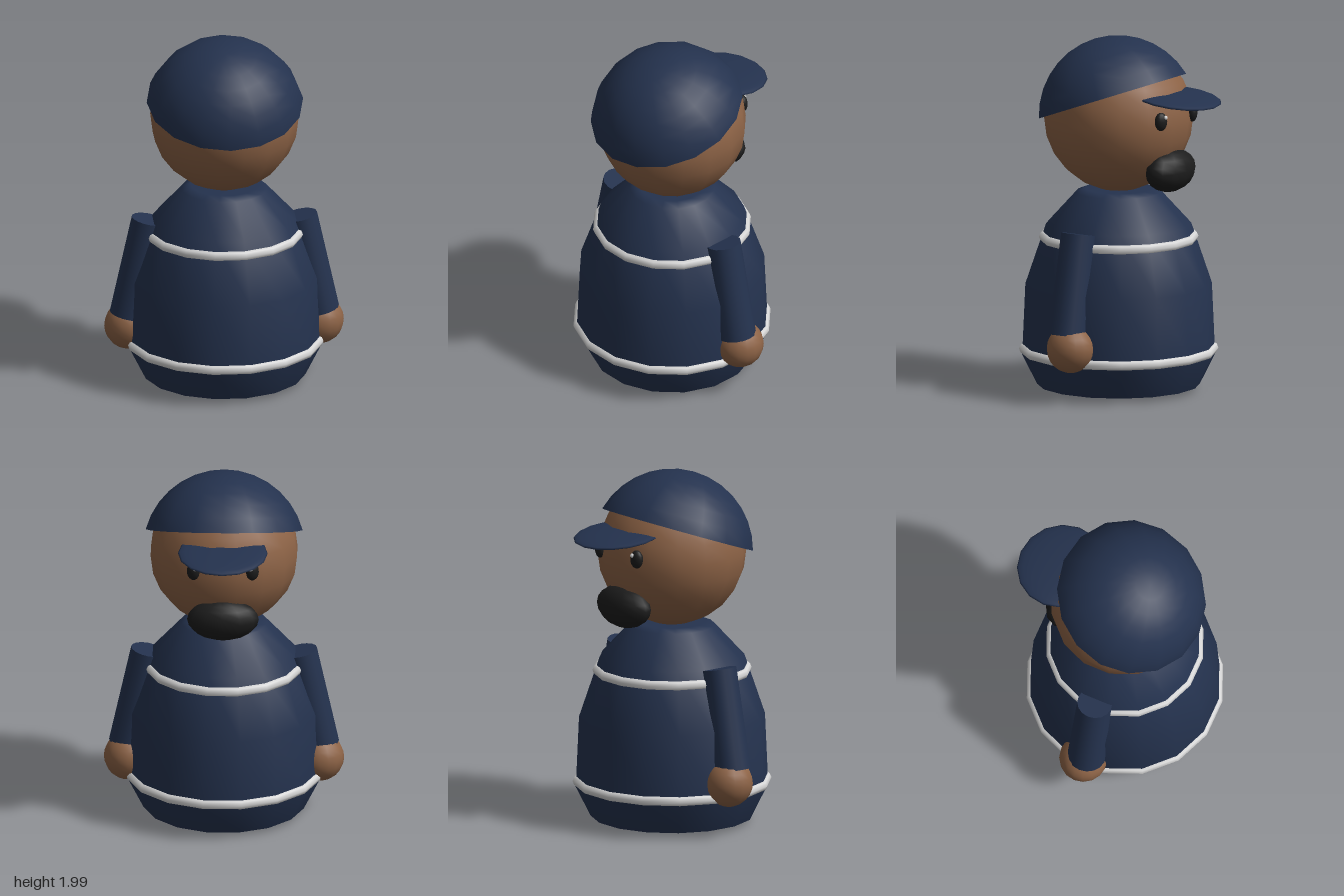
import * as THREE from 'three';

const material = (name, color) => {
  const m = new THREE.MeshStandardMaterial({ color });
  m.name = name;
  return m;
};

export function createModel() {
  const navy = material('navy cloth', 0x24324e);
  const skin = material('brown skin', 0x8d6346);
  const black = material('black', 0x1c1c1c);
  const white = material('white trim', 0xd6d6d6);
  navy.side = THREE.DoubleSide;

  const model = new THREE.Group();
  model.name = 'figure';
  const Z = 0.042; // body axis

  const add = (name, geometry, mat, x, y, z) => {
    const mesh = new THREE.Mesh(geometry, mat);
    mesh.name = name;
    mesh.position.set(x, y, z);
    model.add(mesh);
    return mesh;
  };
  const ellipsoid = (name, mat, [x, y, z], [rx, ry, rz], w = 16, h = 12) =>
    add(name, new THREE.SphereGeometry(1, w, h).scale(rx, ry, rz), mat, x, y, z);

  // Bell-shaped body with a flat underside
  const profile = [[0.455, 0.03], [0.54, 0.2], [0.535, 0.26], [0.52, 0.6], [0.405, 0.94], [0.24, 1.12], [0.19, 1.14], [0, 1.14]]
    .map(([r, y]) => new THREE.Vector2(r, y));
  add('body', new THREE.LatheGeometry(profile, 16, Math.PI / 16), navy, 0, 0, Z);
  const base = new THREE.CircleGeometry(0.455, 16, Math.PI / 16).rotateX(Math.PI / 2);
  add('bodyBase', base, navy, 0, 0.03, Z);

  // White bands around hem and chest
  for (const [name, radius, y] of [['hemBand', 0.526, 0.23], ['chestBand', 0.415, 0.865]]) {
    const band = new THREE.TorusGeometry(radius, 0.03, 8, 16)
      .rotateX(Math.PI / 2).rotateY(Math.PI / 16);
    add(name, band, white, 0, y, Z);
  }

  // Head, tilted cap and peak; the face looks along -z
  ellipsoid('head', skin, [0, 1.545, Z], [0.416, 0.416, 0.416]).rotation.y = Math.PI / 16;
  const cap = new THREE.SphereGeometry(0.453, 16, 7, 0, Math.PI * 2, 0, 1.31);
  add('cap', cap, navy, 0, 1.546, Z).rotation.x = 0.35;
  ellipsoid('capPeak', navy, [0, 1.69, -0.343], [0.25, 0.025, 0.25]).rotation.x = -0.13;

  // Beard
  ellipsoid('beard', black, [0, 1.275, -0.3], [0.2, 0.12, 0.11], 12, 10);

  // Mirrored limbs and eyes
  for (const [side, s] of [['left', 1], ['right', -1]]) {
    ellipsoid(side + 'Eye', black, [s * 0.165, 1.58, -0.34], [0.038, 0.052, 0.028], 12, 10)
      .rotation.y = s * -0.42;
    ellipsoid(side + 'EyeGlint', white, [s * 0.155, 1.603, -0.363], [0.013, 0.013, 0.013], 8, 6);

    const top = new THREE.Vector3(s * 0.422, 0.945, Z);
    const wrist = new THREE.Vector3(s * 0.535, 0.385, Z);
    const axis = top.clone().sub(wrist);
    const mid = top.clone().add(wrist).multiplyScalar(0.5);
    const sleeve = add(side + 'Sleeve', new THREE.CylinderGeometry(0.098, 0.108, axis.length(), 16),
      navy, mid.x, mid.y, mid.z);
    sleeve.quaternion.setFromUnitVectors(new THREE.Vector3(0, 1, 0), axis.normalize());

    ellipsoid(side + 'Hand', skin, [s * 0.535, 0.315, 0.022], [0.135, 0.135, 0.135]);
    ellipsoid(side + 'Foot', black, [s * 0.2, 0.06, -0.055], [0.14, 0.055, 0.2]);
  }

  return model;
}
